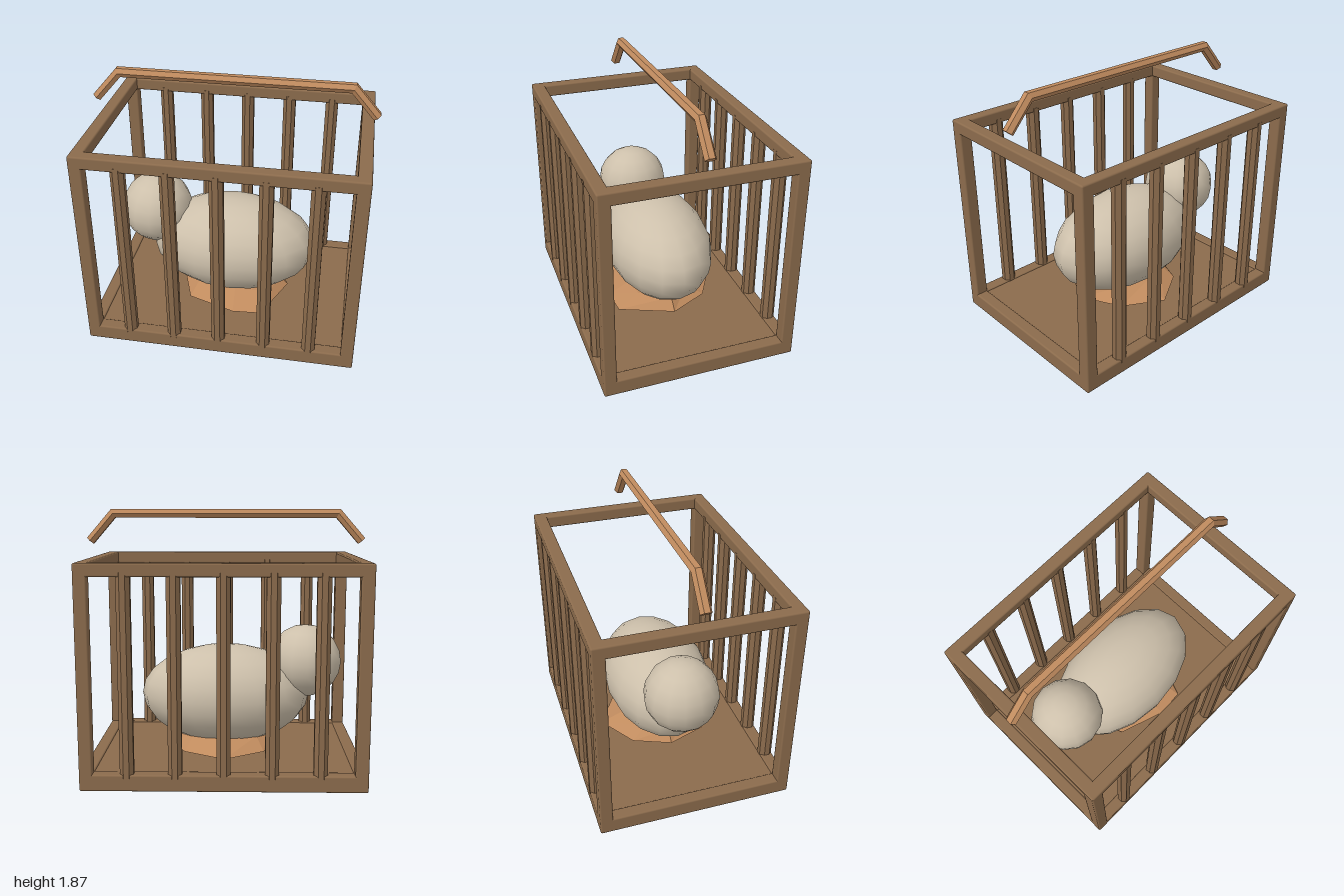
import * as THREE from 'three';
import { RoundedBoxGeometry } from 'three/addons/geometries/RoundedBoxGeometry.js';

const material = (name, color, extra = {}) => {
  const m = new THREE.MeshStandardMaterial({ color, ...extra });
  m.name = name;
  return m;
};

// Joins equal-length rings of points into a closed, faceted solid with flat end caps.
// Rings run so that their outside faces outward from first ring to last.
function loft(rings) {
  const n = rings[0].length;
  const index = [];
  for (let r = 0; r < rings.length - 1; r++) {
    for (let i = 0; i < n; i++) {
      const j = (i + 1) % n, a = r * n, b = a + n;
      index.push(a + i, b + i, a + j, a + j, b + i, b + j);
    }
  }
  const last = (rings.length - 1) * n;
  for (let i = 1; i < n - 1; i++) {
    index.push(0, i, i + 1, last, last + i + 1, last + i);
  }
  const g = new THREE.BufferGeometry();
  g.setAttribute('position', new THREE.Float32BufferAttribute(rings.flat(2), 3));
  g.setIndex(index);
  const flat = g.toNonIndexed();
  flat.computeVertexNormals();
  return flat;
}

export function createModel() {
  const model = new THREE.Group();
  model.name = 'cagedBird';
  const wood = material('brown wood', 0x8b6b4c);
  const copper = material('copper', 0xc08b5e);
  const plumage = material('pale plumage', 0xcdc0ab);

  const add = (name, geometry, mat, x = 0, y = 0, z = 0, parent = model) => {
    const mesh = new THREE.Mesh(geometry, mat);
    mesh.name = name;
    mesh.position.set(x, y, z);
    parent.add(mesh);
    return mesh;
  };

  // Cage frame: softened square beams
  const frame = new THREE.Group();
  frame.name = 'cageFrame';
  model.add(frame);
  const T = 0.09, W = 1.94, D = 1.39, H = 1.53;
  const beam = (w, h, d) => new RoundedBoxGeometry(w, h, d, 2, 0.012);
  const px = (W - T) / 2, pz = (D - T) / 2;
  for (const [label, h, y] of [['bottom', 0.115, 0.0575], ['top', T, H - T / 2]]) {
    for (const s of [-1, 1]) {
      add(label + 'LongRail', beam(W, h, T), wood, 0, y, s * pz, frame);
      add(label + 'EndRail', beam(T, h, D), wood, s * px, y, 0, frame);
    }
  }
  for (const sx of [-1, 1]) {
    for (const sz of [-1, 1]) add('cornerPost', beam(T, H, T), wood, sx * px, H / 2, sz * pz, frame);
  }
  add('floor', new THREE.BoxGeometry(W - T, 0.035, D - T), wood, 0, 0.0875, 0, frame);

  // Eight-sided bars along the two long sides
  const barGeo = new THREE.CylinderGeometry(0.0505, 0.0505, 1.38, 8).toNonIndexed();
  barGeo.rotateY(Math.PI / 8);
  barGeo.computeVertexNormals();
  for (const sz of [-1, 1]) {
    for (let i = -2; i <= 2; i++) add('bar', barGeo, wood, i * 0.325, 0.78, sz * pz, frame);
  }

  // Six-sided carrying handle, mitred at its two bends
  const path = [[-0.98, 1.645], [-0.81, 1.84], [0.81, 1.84], [0.98, 1.645]]
    .map(([x, y]) => new THREE.Vector2(x, y));
  const handleRings = path.map((p, i) => {
    const dIn = path[Math.max(i, 1)].clone().sub(path[Math.max(i, 1) - 1]).normalize();
    const k = Math.min(i, path.length - 2);
    const dOut = path[k + 1].clone().sub(path[k]).normalize();
    const dir = dIn.clone().add(dOut).normalize();
    const stretch = 1 / dir.dot(dIn);
    return Array.from({ length: 6 }, (_, j) => {
      const a = (j * Math.PI) / 3;
      const off = Math.sin(a) * 0.036 * stretch;
      return [p.x - dir.y * off, p.y + dir.x * off, -Math.cos(a) * 0.04];
    });
  });
  add('handle', loft(handleRings.map((r) => r.slice().reverse())), copper).material.side = THREE.DoubleSide;

  // Bird: egg-shaped body with a round head at the right end
  const bird = new THREE.Group();
  bird.name = 'bird';
  model.add(bird);
  add('body', new THREE.SphereGeometry(1, 16, 12), plumage, 0, 0.52, 0, bird).scale.set(0.62, 0.365, 0.388);
  add('head', new THREE.SphereGeometry(0.266, 14, 10), plumage, -0.588, 0.766, 0, bird).rotation.y = Math.PI / 2;

  // Nest: uneven faceted mound under the bird
  const rim = [[0.43, 0], [0.27, 0.385], [0.06, 0.4], [-0.29, 0.28],
    [-0.39, 0], [-0.28, -0.27], [0, -0.445], [0.29, -0.28]];
  const nestRing = (y, sx, sz) => rim.map(([x, z]) => [x * sx, y, z * sz]);
  const nestRings = [nestRing(0.066, 0.4, 0.35), nestRing(0.145, 1, 1), nestRing(0.225, 0.82, 0.57)];
  add('nest', loft(nestRings), copper);

  return model;
}
